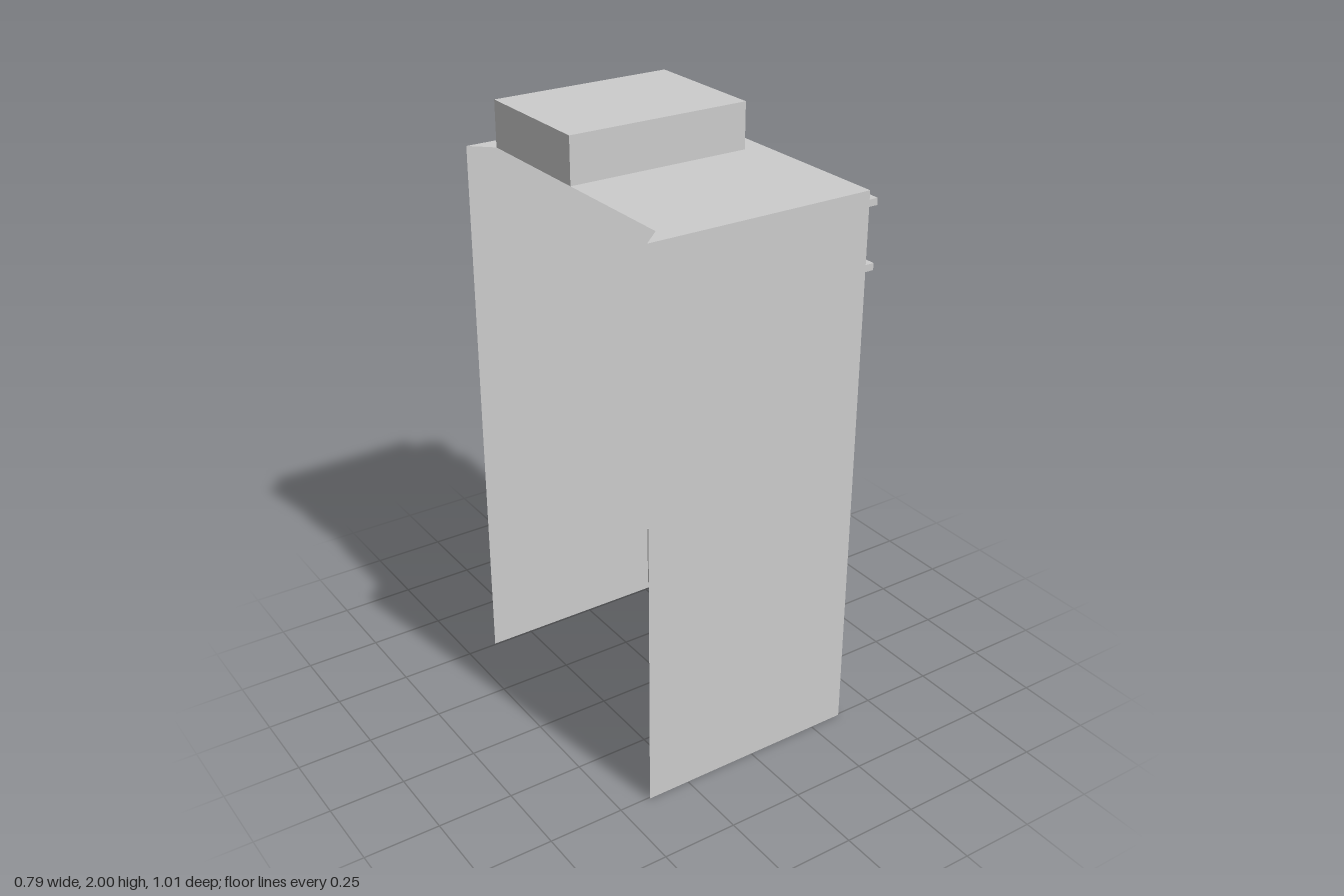
import * as THREE from 'three';

const FACE = 0.365, BACK = -0.395, HALF = 0.505, ROOF = 1.85;
const mat = new THREE.MeshStandardMaterial({ color: 0xcccccc, flatShading: true, side: THREE.DoubleSide });

function add(parent, name, geometry, x = 0, y = 0, z = 0) {
  const mesh = new THREE.Mesh(geometry, mat);
  mesh.name = name;
  mesh.position.set(x, y, z);
  parent.add(mesh);
  return mesh;
}

// Box given by its limits on each axis
function box(parent, name, x0, x1, y0, y1, z0, z1) {
  return add(parent, name, new THREE.BoxGeometry(x1 - x0, y1 - y0, z1 - z0),
    (x0 + x1) / 2, (y0 + y1) / 2, (z0 + z1) / 2);
}

function rect(target, a0, a1, b0, b1) {
  target.moveTo(a0, b0);
  target.lineTo(a1, b0);
  target.lineTo(a1, b1);
  target.lineTo(a0, b1);
  target.closePath();
  return target;
}

// Raised rectangular frame on a wall that faces +x
function frame(parent, name, x, depth, z, y, w, h, bar) {
  const shape = rect(new THREE.Shape(), -w / 2, w / 2, -h / 2, h / 2);
  shape.holes.push(rect(new THREE.Path(), -w / 2 + bar, w / 2 - bar, -h / 2 + bar, h / 2 - bar));
  const geometry = new THREE.ExtrudeGeometry(shape, { depth, bevelEnabled: false });
  geometry.rotateY(Math.PI / 2);
  return add(parent, name, geometry, x, y, z);
}

export function createModel() {
  const building = new THREE.Group();
  building.name = 'building';

  // Street wall with the doorway cut out
  const door = { z0: -0.325, z1: -0.18, y0: 0.165, y1: 0.39, depth: 0.22 };
  const wall = rect(new THREE.Shape(), -HALF, HALF, 0, ROOF);
  wall.holes.push(rect(new THREE.Path(), -door.z1, -door.z0, door.y0, door.y1));
  add(building, 'streetWall', new THREE.ShapeGeometry(wall).rotateY(Math.PI / 2), FACE);

  // Side walls; the rear stays open
  for (const s of [1, -1]) {
    const side = add(building, s > 0 ? 'leftSideWall' : 'rightSideWall',
      new THREE.PlaneGeometry(FACE - BACK, ROOF), (FACE + BACK) / 2, ROOF / 2, s * HALF);
    if (s < 0) side.rotation.y = Math.PI;
  }

  // Flat roof with mitred rear corners
  const roof = new THREE.Shape([
    [FACE, -HALF], [FACE, HALF], [BACK, HALF], [-0.325, 0.44], [-0.325, -0.44], [BACK, -HALF],
  ].map(([x, z]) => new THREE.Vector2(x, z)));
  add(building, 'roof', new THREE.ShapeGeometry(roof).rotateX(-Math.PI / 2), 0, ROOF);

  // Doorway recess
  const doorway = new THREE.Group();
  doorway.name = 'doorway';
  building.add(doorway);
  const w = door.z1 - door.z0, h = door.y1 - door.y0;
  const cx = FACE - door.depth / 2, cy = (door.y0 + door.y1) / 2, cz = (door.z0 + door.z1) / 2;
  add(doorway, 'doorBack', new THREE.PlaneGeometry(w, h).rotateY(Math.PI / 2), FACE - door.depth, cy, cz);
  add(doorway, 'doorFloor', new THREE.PlaneGeometry(door.depth, w).rotateX(-Math.PI / 2), cx, door.y0, cz);
  add(doorway, 'doorCeiling', new THREE.PlaneGeometry(door.depth, w).rotateX(Math.PI / 2), cx, door.y1, cz);
  add(doorway, 'doorCheek', new THREE.PlaneGeometry(door.depth, h), cx, cy, door.z0);
  add(doorway, 'doorCheek', new THREE.PlaneGeometry(door.depth, h).rotateY(Math.PI), cx, cy, door.z1);

  // Cornice ledges
  for (const y of [1.6, 1.8]) box(building, 'cornice', FACE, 0.395, y, y + 0.022, -HALF, HALF);

  // Window frames in two columns
  for (const z of [0.26, -0.25]) {
    for (let i = 0; i < 4; i++) {
      frame(building, 'windowFrame', FACE, 0.025, z, 0.557 + i * 0.263, 0.16, 0.2, 0.013);
    }
  }

  // Rooftop house with its vent frame
  box(building, 'rooftopHouse', -0.325, 0.295, ROOF, 2, -0.44, 0);
  frame(building, 'ventFrame', 0.295, 0.01, -0.22, 1.93, 0.32, 0.09, 0.01);

  return building;
}
